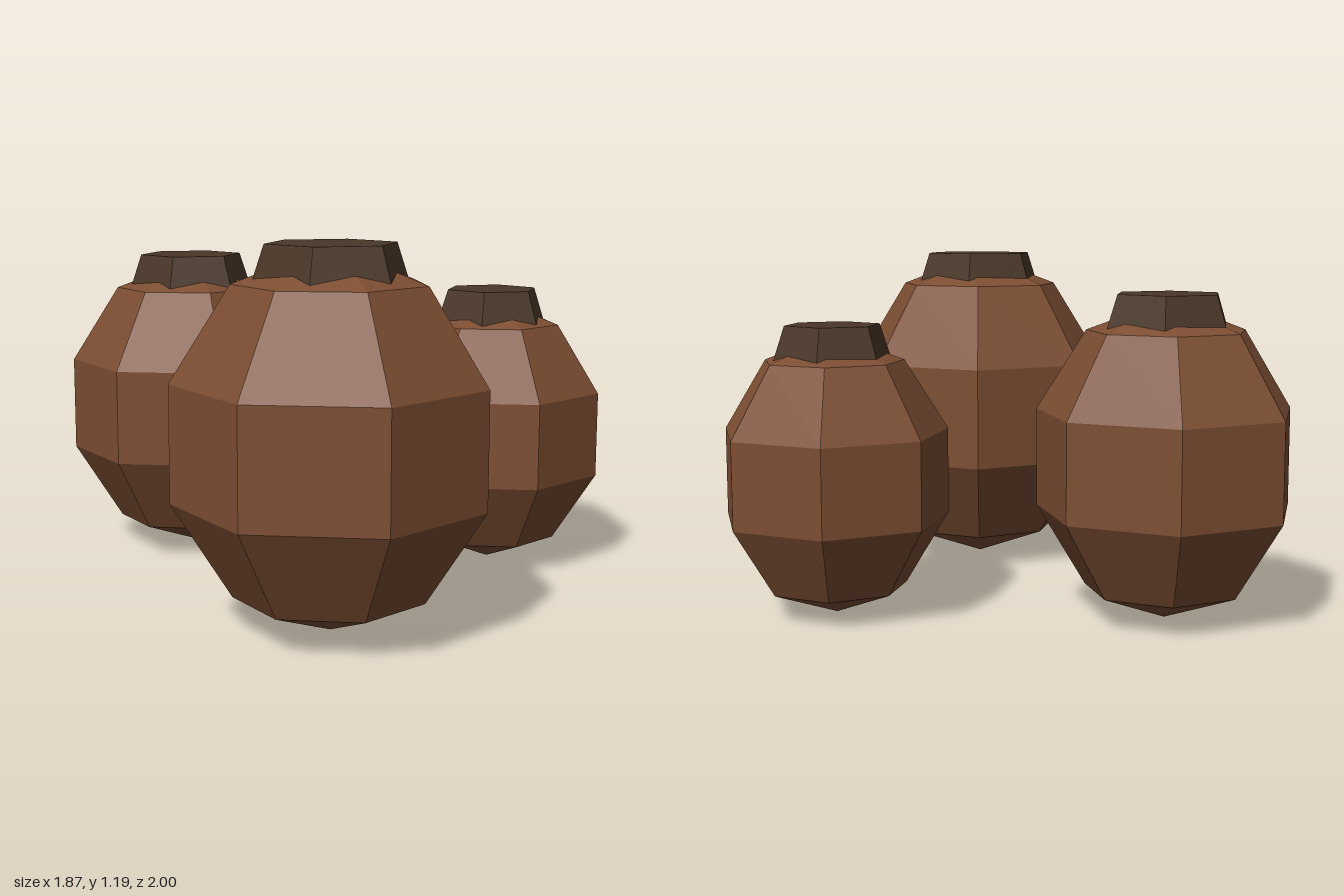
import * as THREE from 'three';

export function createModel() {
  const model = new THREE.Group();
  model.name = 'potCluster';
  const clay = new THREE.MeshStandardMaterial({ color: 0x7d4e33, flatShading: true });
  const dark = new THREE.MeshStandardMaterial({ color: 0x4a3728, flatShading: true });

  // One faceted pot: stretched seven-sided sphere and a tapered six-sided lid
  function addPot(name, x, z, radius, halfHeight, centerY, lidTop) {
    const pot = new THREE.Group();
    pot.name = name;
    pot.position.set(x, 0, z);

    const body = new THREE.Mesh(new THREE.SphereGeometry(1, 7, 5), clay);
    body.name = 'body';
    body.scale.set(radius, halfHeight, radius);
    body.rotation.y = -Math.PI / 2; // one corner points to the back
    body.position.y = centerY;

    const lidHeight = radius * 0.3;
    const lid = new THREE.Mesh(
      new THREE.CylinderGeometry(radius * 0.4, radius * 0.5, lidHeight, 6), dark);
    lid.name = 'lid';
    lid.position.y = lidTop - lidHeight / 2;

    pot.add(body, lid);
    model.add(pot);
  }

  addPot('largePot', -0.465, 0.562, 0.51, 0.588, 0.593, 1.188);
  addPot('mediumPot', -0.055, -0.567, 0.457, 0.528, 0.532, 1.08);
  addPot('smallPot', 0.555, 0.352, 0.406, 0.471, 0.472, 0.973);

  return model;
}
